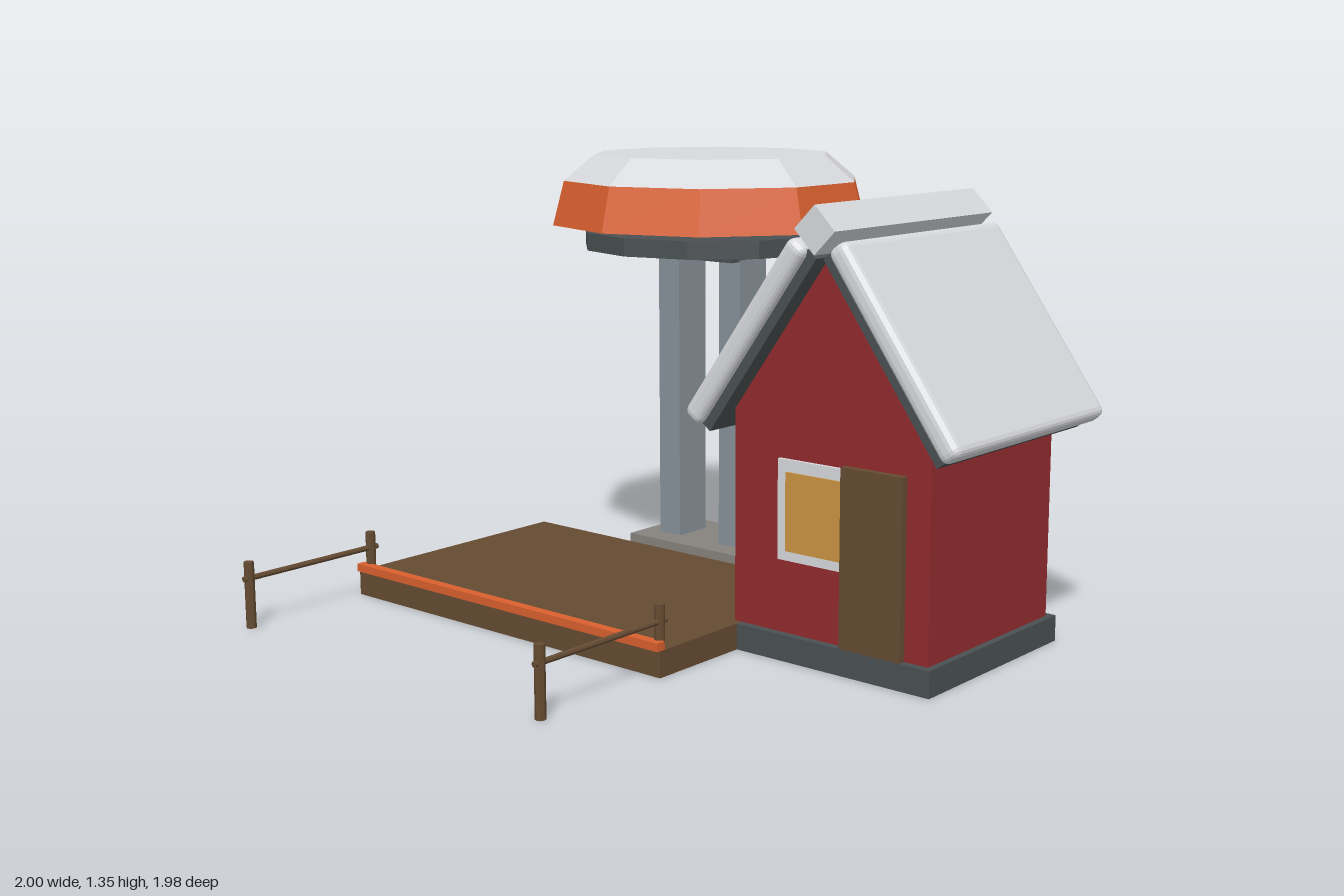
import * as THREE from 'three';
import { RoundedBoxGeometry } from 'three/addons/geometries/RoundedBoxGeometry.js';

const mat = (name, color) => {
  const m = new THREE.MeshStandardMaterial({ color });
  m.name = name;
  m.flatShading = true;
  return m;
};

export function createModel() {
  const wood = mat('brown wood', 0x654b32);
  const red = mat('red wall', 0x922b2e);
  const white = mat('pale grey', 0xd8d9dd);
  const orange = mat('orange', 0xda602e);
  const dark = mat('dark grey', 0x4a5052);
  const steel = mat('steel grey', 0x87929a);
  const concrete = mat('concrete', 0x86827c);
  const amber = mat('amber glass', 0xcc9442);

  const model = new THREE.Group();
  const add = (name, geometry, material, x = 0, y = 0, z = 0, parent = model) => {
    const mesh = new THREE.Mesh(geometry, material);
    mesh.name = name;
    mesh.position.set(x, y, z);
    parent.add(mesh);
    return mesh;
  };
  // Box given by its lowest and highest corner
  const box = (name, material, [x0, y0, z0], [x1, y1, z1], parent = model) =>
    add(name, new THREE.BoxGeometry(x1 - x0, y1 - y0, z1 - z0), material,
      (x0 + x1) / 2, (y0 + y1) / 2, (z0 + z1) / 2, parent);

  // Deck with an edge strip
  box('deck', wood, [-1, 0, -0.265], [0.25, 0.076, 0.54]);
  box('deckEdge', orange, [-1, 0.076, 0.52], [0.25, 0.1, 0.55]);

  // Two rails, each on a pair of posts
  for (const x of [-0.975, 0.227]) {
    for (const z of [0.515, 0.97]) {
      add('railPost', new THREE.CylinderGeometry(0.015, 0.015, 0.2, 8), wood, x, 0.1, z);
    }
    add('rail', new THREE.CylinderGeometry(0.009, 0.009, 0.5, 8), wood, x, 0.15, 0.74).rotation.x = Math.PI / 2;
  }

  // House
  const house = new THREE.Group();
  house.name = 'house';
  house.position.set(0.5525, 0, -0.1125);
  model.add(house);
  box('houseBase', dark, [-0.3475, 0, -0.325], [0.3475, 0.076, 0.325], house);
  const w = 0.3275;
  const gable = new THREE.Shape([[-w, 0.07], [w, 0.07], [w, 0.69], [0, 1.145], [-w, 0.69]]
    .map(([x, y]) => new THREE.Vector2(x, y)));
  const walls = new THREE.ExtrudeGeometry(gable, { depth: 0.605, bevelEnabled: false });
  add('walls', walls, red, 0, 0, -0.3025, house);
  box('door', wood, [0.0525, 0.076, 0.3], [0.2525, 0.58, 0.325], house);

  // Windows on the front and right walls
  box('frontWindowFrame', white, [-0.1675, 0.287, 0.3], [0.2, 0.572, 0.314], house);
  box('frontWindowGlass', amber, [-0.1375, 0.315, 0.312], [0.17, 0.538, 0.319], house);
  box('sideWindowFrame', white, [-w - 0.014, 0.287, -0.19], [-w, 0.572, 0.19], house);
  box('sideWindowGlass', amber, [-w - 0.02, 0.315, -0.16], [-w - 0.01, 0.538, 0.16], house);

  // Roof: two mirrored slopes, each a rounded slab over a dark board
  for (const turn of [0, Math.PI]) {
    const side = new THREE.Group();
    side.name = 'roofSide';
    side.position.y = 1.15;
    side.rotation.y = turn;
    house.add(side);
    const slope = new THREE.Group();
    slope.name = 'roofSlope';
    slope.rotation.z = -0.947;
    side.add(slope);
    box('roofBoard', dark, [0.02, 0, -0.355], [0.645, 0.04, 0.355], slope);
    add('roofSlab', new RoundedBoxGeometry(0.64, 0.067, 0.76, 2, 0.024), white, 0.335, 0.063, 0, slope);
  }
  add('ridgeCap', new THREE.BoxGeometry(0.094, 0.094, 0.76), white, 0, 1.212, 0, house).rotation.z = Math.PI / 4;

  // Tower with a ten-sided cabin
  const tower = new THREE.Group();
  tower.name = 'tower';
  tower.position.set(-0.375, 0, -0.42);
  model.add(tower);
  box('towerBase', concrete, [-0.23, 0, -0.145], [0.23, 0.1, 0.145], tower);
  for (const s of [-1, 1]) {
    add('towerLeg', new THREE.BoxGeometry(0.086, 0.925, 0.13), steel, s * 0.126, 0.5625, 0, tower);
  }
  box('legCap', dark, [-0.168, 1.02, -0.105], [0.168, 1.058, 0.105], tower);
  const disc = (name, top, bottom, y0, y1, sides, material) =>
    add(name, new THREE.CylinderGeometry(top, bottom, y1 - y0, sides), material, 0, (y0 + y1) / 2, 0, tower);
  disc('lowerDisc', 0.413, 0.413, 1.055, 1.11, 12, dark);
  disc('neck', 0.076, 0.076, 1.1, 1.14, 12, dark);
  disc('cabinBand', 0.475, 0.511, 1.132, 1.27, 10, orange);
  disc('cabinRoof', 0.378, 0.475, 1.27, 1.35, 10, white);
  box('rearBox', steel, [-0.075, 1.055, -0.57], [0.075, 1.255, -0.42], tower);

  return model;
}
